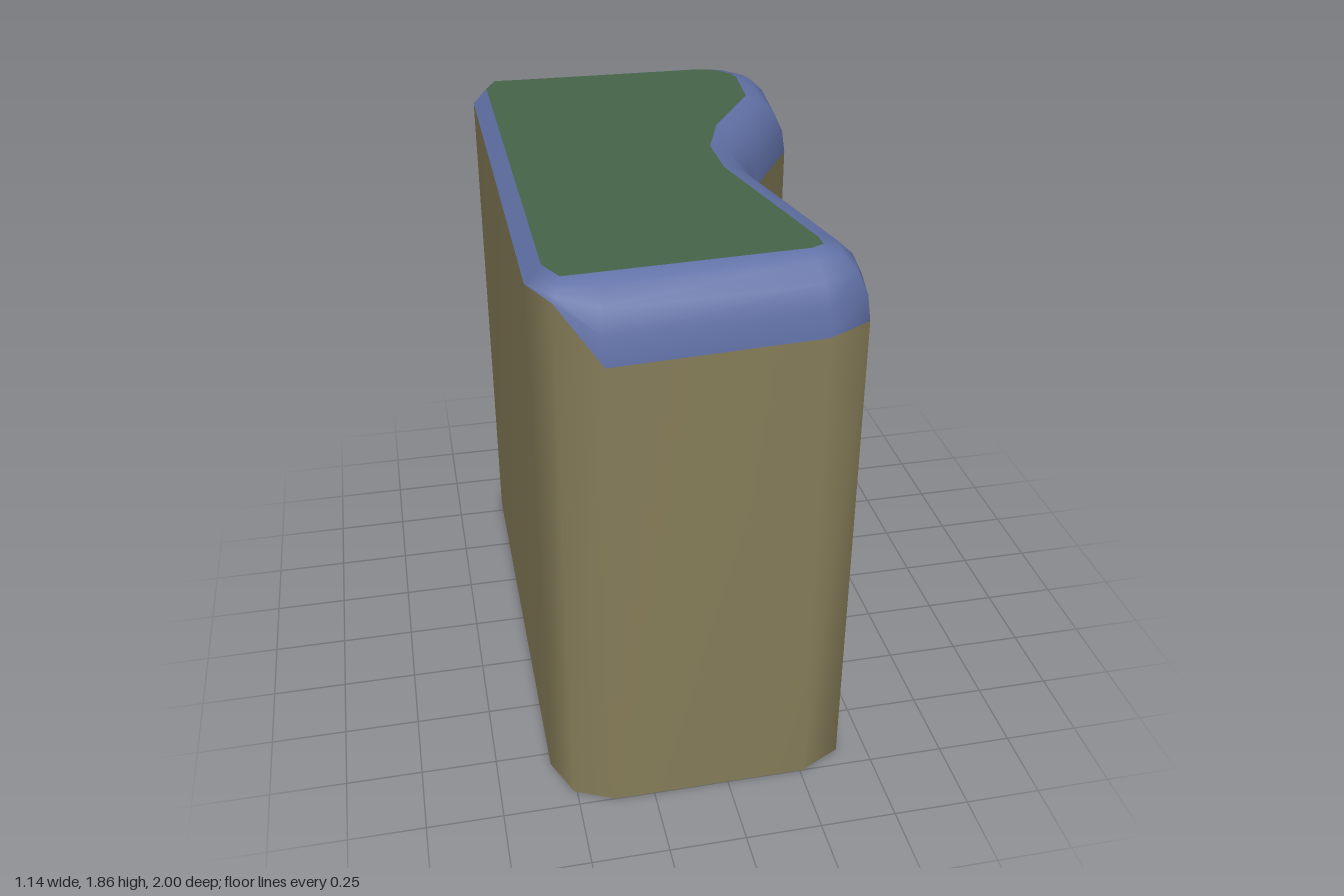
import * as THREE from 'three';

// Footprint: outer [x, z] followed by the matching top-face [x, z]
const OUTLINE = [
  [-0.57, -0.8, -0.52, -0.8], [-0.51, -0.94, -0.48, -0.885], [-0.38, -1, -0.38, -0.88],
  [0.31, -1, 0.29, -0.86], [0.45, -0.96, 0.36, -0.84], [0.54, -0.85, 0.41, -0.78],
  [0.57, -0.76, 0.42, -0.74], [0.54, -0.46, 0.4, -0.51], [0.35, -0.15, 0.22, -0.22],
  [0.3, 0, 0.15, -0.02], [0.3, 0.15, 0.15, 0.18], [0.43, 0.78, 0.28, 0.78],
  [0.4, 0.93, 0.28, 0.83], [0.26, 1, 0.24, 0.85], [-0.38, 1, -0.38, 0.88],
  [-0.51, 0.94, -0.48, 0.885], [-0.57, 0.8, -0.52, 0.8],
];

const isBackEdge = (x) => x < -0.45; // straight side with a small flat chamfer
const rimY = (x) => (isBackEdge(x) ? 1.8 : Math.min(1.65, 1.635 + 0.04 * x));
const topY = (x) => 1.856 + 0.006 * x;

// Joins closed rings of points, listed from bottom to top
function loft(rings) {
  const n = rings[0].length;
  const index = [];
  for (let r = 0; r < rings.length - 1; r++) {
    for (let i = 0; i < n; i++) {
      const a = r * n + i;
      const b = r * n + ((i + 1) % n);
      index.push(b, a, a + n, b, a + n, b + n);
    }
  }
  const geometry = new THREE.BufferGeometry();
  geometry.setAttribute('position', new THREE.Float32BufferAttribute(rings.flat(2), 3));
  geometry.setIndex(index);
  geometry.computeVertexNormals();
  return geometry;
}

// Ring of the rounded edge: t = 0 at the wall, t = 1 at the top face
function edgeRing(t) {
  return OUTLINE.map(([x, z, ix, iz]) => {
    const flat = isBackEdge(x);
    const inward = flat ? t : 1 - Math.cos((t * Math.PI) / 2);
    const rise = flat ? t : Math.sin((t * Math.PI) / 2);
    return [
      THREE.MathUtils.lerp(x, ix, inward),
      THREE.MathUtils.lerp(rimY(x), topY(ix), rise),
      THREE.MathUtils.lerp(z, iz, inward),
    ];
  });
}

export function createModel() {
  const group = new THREE.Group();
  group.name = 'curvedBlock';
  const add = (name, geometry, color) => {
    const material = new THREE.MeshStandardMaterial({ color, side: THREE.DoubleSide });
    const mesh = new THREE.Mesh(geometry, material);
    mesh.name = name;
    group.add(mesh);
  };

  // Upright walls, open underneath
  const base = OUTLINE.map(([x, z]) => [x, 0, z]);
  add('walls', loft([base, edgeRing(0)]), 0x857c58);

  // Rounded upper edge
  add('roundedEdge', loft([0, 0.25, 0.5, 0.75, 1].map(edgeRing)), 0x6070a5);

  // Top face, rising slightly towards the wavy side
  const shape = new THREE.Shape(OUTLINE.map(([, , x, z]) => new THREE.Vector2(x, -z)));
  const top = new THREE.ShapeGeometry(shape).rotateX(-Math.PI / 2);
  const p = top.attributes.position;
  for (let i = 0; i < p.count; i++) p.setY(i, topY(p.getX(i)));
  top.computeVertexNormals();
  add('topFace', top, 0x456549);

  return group;
}
